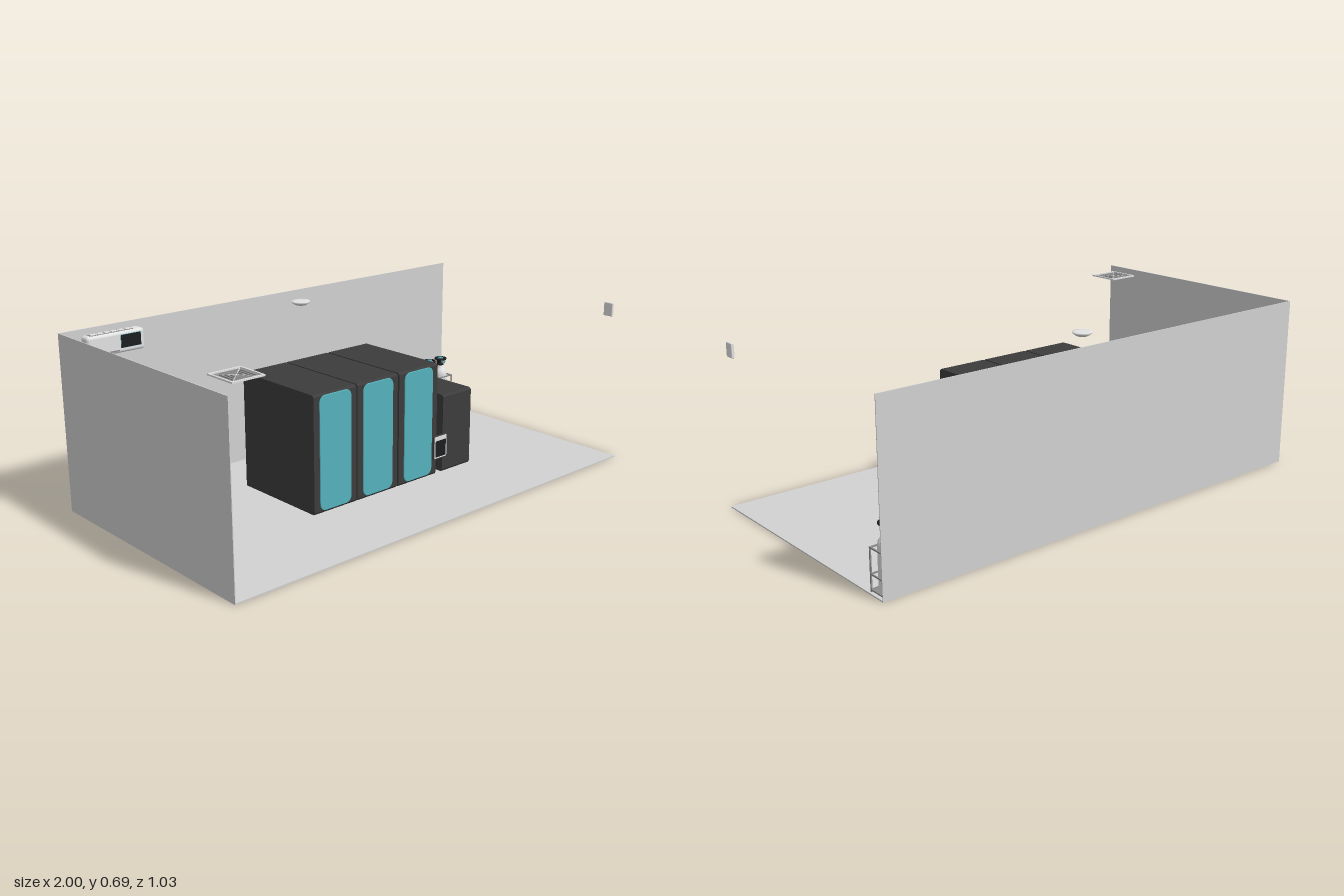
import * as THREE from 'three';
import { RoundedBoxGeometry } from 'three/addons/geometries/RoundedBoxGeometry.js';

const mat = (name, color, side = THREE.FrontSide) => {
  const m = new THREE.MeshStandardMaterial({ color, side });
  m.name = name;
  return m;
};

export function createModel() {
  const root = new THREE.Group();
  root.name = 'equipmentRoom';
  const wall = mat('wallGrey', 0xd2d2d2);
  const white = mat('offWhite', 0xe2e2e2);
  const dark = mat('charcoal', 0x3c3c3c);
  const black = mat('black', 0x1c1e20);
  const teal = mat('teal', 0x55b2bc);
  const steel = mat('steel', 0x8c8c8c);

  const add = (parent, name, geo, material, x = 0, y = 0, z = 0) => {
    const m = new THREE.Mesh(geo, material);
    m.name = name;
    m.position.set(x, y, z);
    parent.add(m);
    return m;
  };
  const group = (name, x = 0, y = 0, z = 0) => {
    const g = new THREE.Group();
    g.name = name;
    g.position.set(x, y, z);
    root.add(g);
    return g;
  };
  // Box given by its two opposite corners
  const box = (parent, name, material, x0, x1, y0, y1, z0, z1, r = 0) => {
    const s = [x1 - x0, y1 - y0, z1 - z0];
    const geo = r ? new RoundedBoxGeometry(...s, 3, r) : new THREE.BoxGeometry(...s);
    return add(parent, name, geo, material, (x0 + x1) / 2, (y0 + y1) / 2, (z0 + z1) / 2);
  };
  const roundedRect = (w, h, r) => {
    const s = new THREE.Shape();
    s.absarc(w / 2 - r, h / 2 - r, r, 0, Math.PI / 2);
    s.absarc(-w / 2 + r, h / 2 - r, r, Math.PI / 2, Math.PI);
    s.absarc(-w / 2 + r, -h / 2 + r, r, Math.PI, Math.PI * 1.5);
    s.absarc(w / 2 - r, -h / 2 + r, r, Math.PI * 1.5, Math.PI * 2);
    return s;
  };

  // Room shell: floor, back wall, one side wall
  box(root, 'floor', wall, -1, 1, 0, 0.005, -0.515, 0.512);
  box(root, 'backWall', wall, -1, 1, 0.005, 0.69, -0.515, -0.512);
  box(root, 'sideWall', wall, -1, -0.997, 0.005, 0.69, -0.512, 0.512);

  // Cabinets: side profile with chamfered front edges, extruded across the width
  const cabinet = (name, x0, x1, top, hasDoor) => {
    const g = group(name, (x0 + x1) / 2);
    const w = x1 - x0;
    const s = new THREE.Shape([[0.235, 0.022], [0.235, top], [-0.17, top], [-0.178, top - 0.008],
      [-0.178, 0.03], [-0.172, 0.022]].map(p => new THREE.Vector2(...p)));
    const geo = new THREE.ExtrudeGeometry(s, { depth: w, bevelEnabled: false });
    geo.rotateY(Math.PI / 2).translate(-w / 2, 0, 0);
    add(g, 'cabinetBody', geo, dark);
    if (!hasDoor) return;
    const door = new THREE.ExtrudeGeometry(roundedRect(0.148, 0.442, 0.025), {
      depth: 0.001, bevelThickness: 0.002, bevelSize: 0.003, bevelSegments: 3 });
    add(g, 'doorPanel', door, teal, 0, 0.255, 0.179);
  };
  cabinet('leftCabinet', -0.387, -0.18, 0.485, true);
  cabinet('middleCabinet', -0.173, 0.034, 0.485, true);
  cabinet('rightCabinet', 0.042, 0.252, 0.485, true);
  cabinet('sideCabinet', 0.288, 0.45, 0.346, false);

  // Control panel at the open front
  const panel = group('controlPanel');
  box(panel, 'panelHousing', dark, -0.112, -0.045, 0.263, 0.352, 0.506, 0.514, 0.003);
  box(panel, 'panelFrame', white, -0.109, -0.048, 0.267, 0.349, 0.514, 0.515);
  box(panel, 'panelScreen', black, -0.104, -0.053, 0.272, 0.333, 0.515, 0.516);

  // Air conditioner on the back wall
  const ac = group('airConditioner');
  box(ac, 'unitBody', white, -0.915, -0.673, 0.587, 0.668, -0.511, -0.46, 0.012);
  box(ac, 'displayFrame', teal, -0.777, -0.691, 0.606, 0.657, -0.461, -0.458);
  box(ac, 'display', black, -0.776, -0.692, 0.607, 0.656, -0.458, -0.457);
  box(ac, 'airOutlet', steel, -0.9, -0.785, 0.596, 0.601, -0.461, -0.458);
  box(ac, 'topVent', steel, -0.895, -0.715, 0.668, 0.669, -0.497, -0.47);
  for (let i = 0; i < 6; i++) {
    const x = -0.889 + i * 0.029;
    box(ac, 'ventSlat', white, x, x + 0.024, 0.669, 0.671, -0.492, -0.475);
  }

  // Ceiling diffuser: nested square rings
  const diffuser = group('ceilingDiffuser', -0.838, 0.684, 0.337);
  for (let i = 0; i < 5; i++) {
    const h = 0.066 - i * 0.013, s = roundedRect(h * 2, h * 2, 0.001);
    s.holes.push(roundedRect(h * 2 - 0.014, h * 2 - 0.014, 0.001));
    const ring = new THREE.ExtrudeGeometry(s, { depth: i ? 0.003 : 0.006, bevelEnabled: false });
    ring.rotateX(-Math.PI / 2);
    add(diffuser, 'diffuserRing', ring, i ? steel : white);
  }
  for (const a of [Math.PI / 4, -Math.PI / 4])
    add(diffuser, 'diffuserBrace', new THREE.BoxGeometry(0.17, 0.002, 0.003), white, 0, 0.002, 0).rotation.y = a;

  // Small round sensors
  const lathe = (pts, n = 32) => new THREE.LatheGeometry(pts.map(p => new THREE.Vector2(...p)), n);
  add(root, 'smokeDetector', lathe([[0, 0], [0.022, 0], [0.032, 0.006], [0.037, 0.01],
    [0.037, 0.016], [0.024, 0.016], [0, 0.016]]), white, -0.01, 0.673, -0.342);
  add(root, 'leakSensor', lathe([[0, 0], [0.02, 0], [0.02, 0.003], [0.015, 0.009], [0, 0.01]]), white, 0.505, 0.021, 0.105);

  // Wall sensor on the open side
  box(root, 'wallSensor', white, 0.985, 0.997, 0.604, 0.66, 0.42, 0.462, 0.003);

  // Gas cylinders
  const bodyGeo = lathe([[0, 0], [0.026, 0], [0.031, 0.005], [0.031, 0.155], [0.028, 0.171],
    [0.02, 0.183], [0.011, 0.19], [0.011, 0.203], [0, 0.203]]);
  [0.8, 0.873, 0.946].forEach((x, i) => {
    const g = group('gasCylinder', x, 0.013, -0.466);
    add(g, 'bottle', bodyGeo, white);
    add(g, 'neckRing', new THREE.CylinderGeometry(0.015, 0.015, 0.007, 20), black, 0, 0.204, 0);
    add(g, 'valveStem', new THREE.CylinderGeometry(0.009, 0.009, 0.026, 16), dark, 0, 0.217, 0);
    add(g, 'valveBlock', new THREE.BoxGeometry(0.03, 0.016, 0.022), black, 0, 0.218, 0);
    const wheel = add(g, 'handWheel', new THREE.TorusGeometry(0.024, 0.005, 8, 24), black, 0, 0.231, 0);
    wheel.rotation.x = Math.PI / 2;
    add(g, 'wheelSpoke', new THREE.BoxGeometry(0.046, 0.004, 0.006), black, 0, 0.231, 0);
    add(g, 'wheelHub', new THREE.CylinderGeometry(0.011, 0.011, 0.008, 16), teal, 0, 0.233, 0);
    const gauge = add(g, 'gauge', new THREE.CylinderGeometry(0.01, 0.01, 0.01, 16), steel, 0, 0.22, 0.018);
    gauge.rotation.x = Math.PI / 2;
    add(g, 'gaugeFace', new THREE.CircleGeometry(0.007, 16), teal, 0, 0.22, 0.0235);
    // Curved label wrapped on the front
    if (i !== 1) add(g, 'label', new THREE.CylinderGeometry(0.0316, 0.0316, 0.064, 16, 1, true, -0.9, 1.8),
      i ? black : teal, 0, 0.098, 0);
  });

  // Cylinder rack
  const rack = group('cylinderRack');
  const t = 0.005, x0 = 0.76, x1 = 0.992, z0 = -0.511, z1 = -0.432;
  for (const x of [x0, x1 - t]) for (const z of [z0, z1 - t])
    box(rack, 'rackPost', steel, x, x + t, 0.005, 0.163, z, z + t);
  for (const y of [0.01, 0.065, 0.158]) {
    for (const z of [z0, z1 - t]) box(rack, 'rackRail', steel, x0, x1, y, y + t, z, z + t);
    for (const x of [x0, x1 - t]) box(rack, 'rackSideRail', steel, x, x + t, y, y + t, z0, z1);
  }
  for (const x of [0.834, 0.907]) box(rack, 'rackDivider', steel, x, x + t, 0.158, 0.163, z0, z1);
  box(rack, 'rackBase', steel, x0, x1, 0.01, 0.013, z0, z1);

  return root;
}
